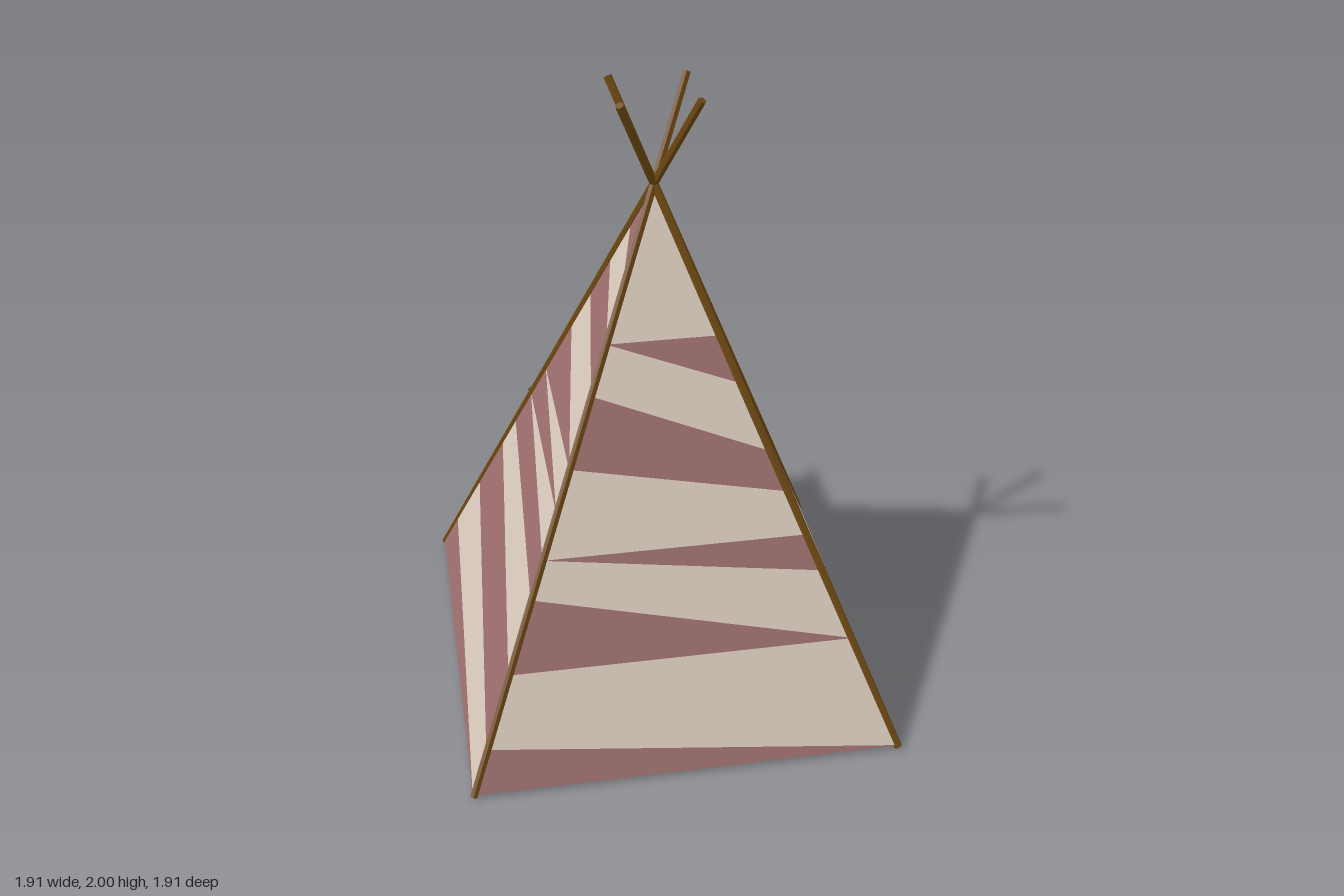
import * as THREE from 'three';

const mat = (color) => new THREE.MeshStandardMaterial({ color, flatShading: true, side: THREE.DoubleSide });
const APEX = 1.7, BASE = 0.02;
// Distance of a wall from the axis (and its half width) at height y
const reach = (y) => 0.4 * (APEX - y);

function seeded(seed) {
  return () => (seed = (seed * 16807) % 2147483647) / 2147483647;
}

function triMesh(name, triangles, material) {
  const g = new THREE.BufferGeometry();
  g.setAttribute('position', new THREE.Float32BufferAttribute(triangles.flat(2), 3));
  g.computeVertexNormals();
  const m = new THREE.Mesh(g, material);
  m.name = name;
  return m;
}

const quad = (a, b, c, d) => [[a, b, c], [a, c, d]];

export function createModel() {
  const model = new THREE.Group();
  model.name = 'tent';
  const cream = mat(0xd8cabc), rose = mat(0x9c6d6d), grey = mat(0x666666), wood = mat(0x6e4810);

  function rod(name, from, to, radius, parent) {
    const a = new THREE.Vector3(...from), b = new THREE.Vector3(...to);
    const m = new THREE.Mesh(new THREE.CylinderGeometry(radius, radius, a.distanceTo(b), 6), wood);
    m.position.copy(a).add(b).multiplyScalar(0.5);
    m.quaternion.setFromUnitVectors(new THREE.Vector3(0, 1, 0), b.sub(a).normalize());
    m.name = name;
    parent.add(m);
  }

  // Zigzag strip of cloth between two edges; pattern lists which triangle of
  // each band is rose: l (base on left edge), r (right), b (both), - (none)
  function strip(parent, left, right, levels, pattern) {
    const parts = { rose: [], cream: [] };
    for (let i = 0; i < levels.length - 1; i++) {
      const y0 = levels[i], y1 = levels[i + 1], p = pattern[i];
      parts['lb'.includes(p) ? 'rose' : 'cream'].push([left(y0), right(y0), left(y1)]);
      parts['rb'.includes(p) ? 'rose' : 'cream'].push([left(y1), right(y0), right(y1)]);
    }
    if (parts.rose.length) parent.add(triMesh('roseStripes', parts.rose, rose));
    if (parts.cream.length) parent.add(triMesh('creamStripes', parts.cream, cream));
  }
  const edge = (s) => (y) => [s * reach(y), y, reach(y)];

  // Four crossing poles
  for (let i = 0; i < 4; i++) {
    const c = Math.round(Math.cos(i * Math.PI / 2)), s = Math.round(Math.sin(i * Math.PI / 2));
    rod('tentPole', [0.945 * c, 0.012, 0.945 * s], [-0.165 * c, 1.995, -0.165 * s], 0.013, model);
  }

  // Walls, each built facing +z and turned into place
  const side = (name, degrees) => {
    const g = new THREE.Group();
    g.name = name;
    g.rotation.y = THREE.MathUtils.degToRad(degrees);
    model.add(g);
    return g;
  };
  const levels = [BASE, 0.15, 0.36, 0.57, 0.68, 0.81, 0.93, 1.13, 1.27, 1.41, 1.55, APEX];
  strip(side('frontLeftWall', 45), edge(-1), edge(1), levels, 'lrb-l-l-l-l');
  strip(side('frontRightWall', -45), edge(-1), edge(1), levels, 'l-lr-rlr---');
  strip(side('backRightWall', 225), edge(-1), edge(1), levels, 'lrlrlllrlrl');

  // Wall with the doorway
  const door = side('doorWall', 135);
  const half = 0.325, top = 0.57, inset = 0.085;
  strip(door, edge(-1), edge(1), levels.slice(3), '-l-rl-r-');
  const low = [BASE, 0.15, 0.29, top];
  strip(door, edge(-1), (y) => [-half, y, reach(y)], low, 'b-b');
  strip(door, (y) => [half, y, reach(y)], edge(1), low, '-b-');

  // Recessed door panel, jambs and lintel
  const at = (x, y, d) => [x, y, reach(y) - d];
  door.add(triMesh('doorPanel', quad(
    at(-half, BASE, inset), at(half, BASE, inset), at(half, top, inset), at(-half, top, inset)), cream));
  for (const x of [-half, half]) {
    door.add(triMesh('doorJamb', quad(
      at(x, BASE, inset), at(x, BASE, 0), at(x, top, 0), at(x, top, inset)), cream));
  }
  door.add(triMesh('lintel', quad(
    at(-half, top, 0), at(half, top, 0), at(half, top, inset), at(-half, top, inset)), grey));
  door.add(triMesh('lintelFront', quad(
    at(-half, top, -0.006), at(half, top, -0.006), at(half, 0.595, -0.006), at(-half, 0.595, -0.006)), grey));

  // Loose fold of cloth beside the doorway
  door.add(triMesh('clothFold', quad(
    at(-half, 0.57, -0.01), at(-0.39, 0.53, -0.015), at(-0.405, 0.38, -0.01), at(-half, 0.4, -0.01)), cream));

  // Awning: patchwork of small triangles on two rods
  const rand = seeded(77), nx = 12, nz = 6;
  const grid = [];
  for (let j = 0; j <= nz; j++) {
    for (let i = 0; i <= nx; i++) {
      grid.push([-half + 2 * half * i / nx, 0.598 + 0.012 * rand(), 0.43 + 0.25 * j / nz]);
    }
  }
  const patches = [[], []];
  for (let j = 0; j < nz; j++) {
    for (let i = 0; i < nx; i++) {
      const k = j * (nx + 1) + i;
      const q = quad(grid[k], grid[k + nx + 1], grid[k + nx + 2], grid[k + 1]);
      q.forEach((t) => patches[rand() < 0.5 ? 0 : 1].push(t));
    }
  }
  door.add(triMesh('awningRosePatches', patches[0], rose));
  door.add(triMesh('awningCreamPatches', patches[1], cream));
  for (const x of [-half, half]) rod('awningRod', [x, 0.592, 0.43], [x, 0.592, 0.735], 0.01, door);

  // Floor with a notch at the doorway
  const r = reach(BASE), n = r - inset;
  const outline = [[-r, -r], [r, -r], [r, r], [half, r], [half, n], [-half, n], [-half, r], [-r, r]];
  const floor = new THREE.Mesh(
    new THREE.ShapeGeometry(new THREE.Shape(outline.map((p) => new THREE.Vector2(...p)))).rotateX(Math.PI / 2), grey);
  floor.position.y = BASE;
  floor.name = 'floor';
  door.add(floor);

  return model;
}
